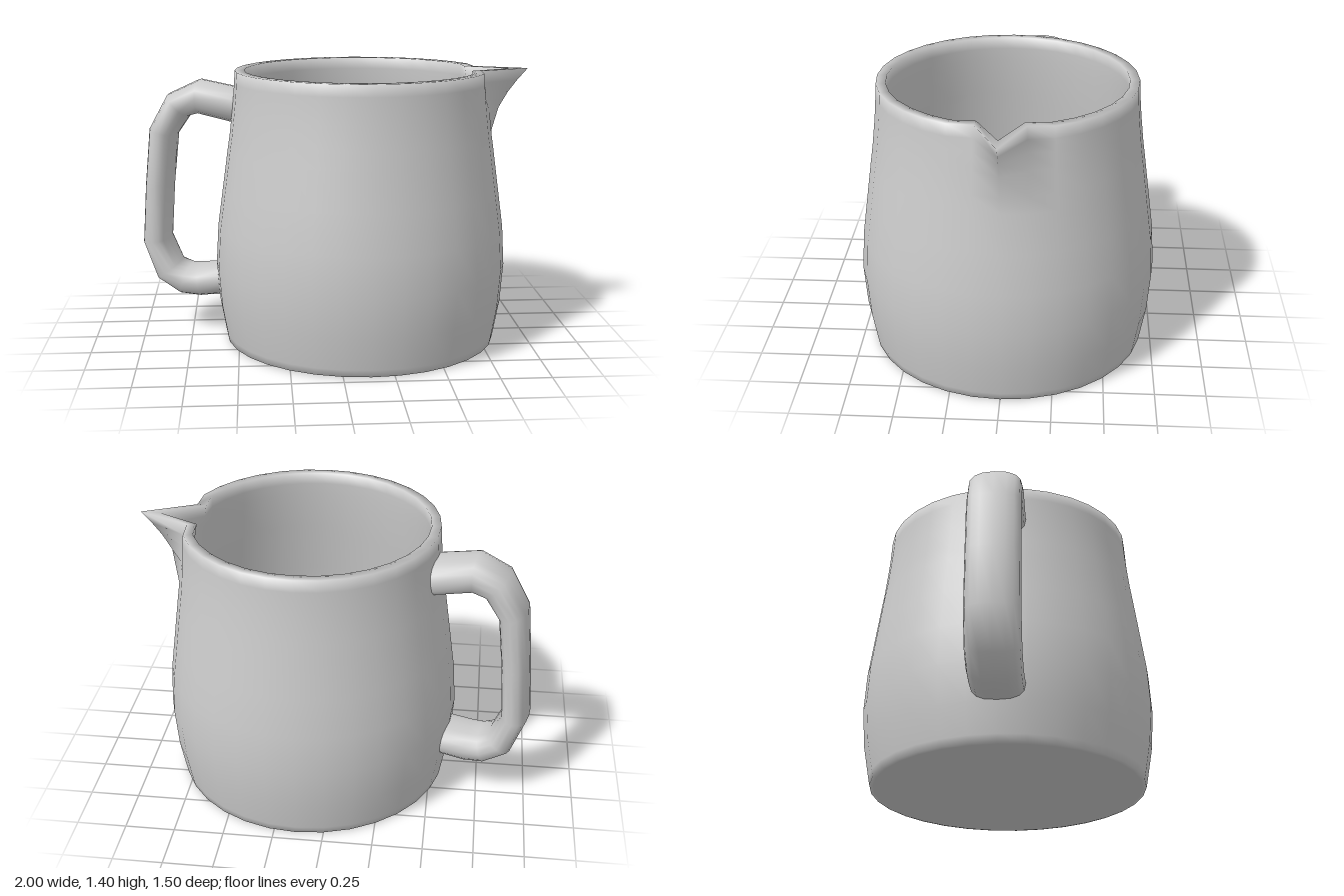
import * as THREE from 'three';
import { mergeVertices } from 'three/addons/utils/BufferGeometryUtils.js';

const material = new THREE.MeshStandardMaterial({ color: 0xcccccc });

// Weld shared points so the shading is smooth all round
function smooth(geometry) {
  geometry.deleteAttribute('uv');
  geometry.deleteAttribute('normal');
  const welded = mergeVertices(geometry, 1e-4);
  welded.computeVertexNormals();
  return welded;
}

// Interpolate a list of [key, value] stops in ascending key order
function ramp(stops, k) {
  if (k <= stops[0][0]) return stops[0][1];
  for (let i = 1; i < stops.length; i++) {
    const [k0, v0] = stops[i - 1], [k1, v1] = stops[i];
    if (k <= k1) return v0 + (v1 - v0) * (k - k0) / (k1 - k0);
  }
  return stops[stops.length - 1][1];
}

// Hollow pot: outer wall, rim, inner wall and floor in one turned profile
function makeBody() {
  const outer = [
    [0, 0], [0.35, 0], [0.68, 0], [0.7, 0.004], [0.707, 0.04], [0.735, 0.2], [0.75, 0.4],
    [0.738, 0.6], [0.71, 0.8], [0.682, 1.0], [0.67, 1.08], [0.656, 1.2], [0.648, 1.28], [0.644, 1.34], [0.64, 1.4],
  ];
  const inner = [
    [0.592, 1.4], [0.594, 1.34], [0.598, 1.28], [0.606, 1.2], [0.62, 1.08], [0.632, 1.0], [0.66, 0.8],
    [0.688, 0.6], [0.7, 0.4], [0.685, 0.2], [0.65, 0.09], [0.58, 0.055], [0.3, 0.05], [0, 0.05],
  ];
  const profile = [...outer, ...inner];
  const geometry = new THREE.LatheGeometry(profile.map(([r, y]) => new THREE.Vector2(r, y)), 32);

  // Spout: pull the +x column out to a point and pinch its neighbours in
  const outerPull = [[1.0, 0], [1.08, 0.012], [1.2, 0.06], [1.28, 0.115], [1.34, 0.165], [1.4, 0.222]];
  const innerPull = [[1.08, 0], [1.2, 0.04], [1.28, 0.085], [1.34, 0.125], [1.4, 0.175]];
  const pinch = [[1.2, 0], [1.4, -0.028]];
  const pos = geometry.attributes.position;
  const n = profile.length, spoutColumn = 8;
  for (let column = spoutColumn - 1; column <= spoutColumn + 1; column++) {
    for (let j = 0; j < n; j++) {
      const [r, y] = profile[j];
      if (y < 1) continue;
      const pull = column !== spoutColumn ? pinch : j < outer.length ? outerPull : innerPull;
      const k = (r + ramp(pull, y)) / r, i = column * n + j;
      pos.setX(i, pos.getX(i) * k);
      pos.setZ(i, pos.getZ(i) * k);
    }
  }
  return smooth(geometry);
}

// Handle: flattened oval section swept along a loop in the local xy plane
function makeHandle() {
  // distance from pot axis, height, half thickness
  const path = [
    [0.63, 1.205, 0.09], [0.84, 1.25, 0.088], [0.95, 1.205, 0.078], [1.035, 1.065, 0.07], [1.065, 0.78, 0.067],
    [1.085, 0.485, 0.068], [1.02, 0.32, 0.074], [0.93, 0.27, 0.08], [0.85, 0.265, 0.082], [0.715, 0.28, 0.08],
  ];
  const sides = 16, halfWidth = 0.13, positions = [], index = [];
  const oval = (v) => Math.sign(v) * Math.pow(Math.abs(v), 0.8);
  path.forEach(([x, y, t], i) => {
    const a = path[Math.max(i - 1, 0)], b = path[Math.min(i + 1, path.length - 1)];
    const length = Math.hypot(b[0] - a[0], b[1] - a[1]);
    const nx = -(b[1] - a[1]) / length, ny = (b[0] - a[0]) / length;
    for (let s = 0; s < sides; s++) {
      const angle = s / sides * Math.PI * 2;
      const u = oval(Math.cos(angle)) * t;
      positions.push(x + nx * u, y + ny * u, oval(Math.sin(angle)) * halfWidth);
    }
  });
  for (let i = 0; i < path.length - 1; i++) {
    for (let s = 0; s < sides; s++) {
      const a = i * sides + s, b = i * sides + (s + 1) % sides;
      index.push(a, b, a + sides, b, b + sides, a + sides);
    }
  }
  const geometry = new THREE.BufferGeometry();
  geometry.setAttribute('position', new THREE.Float32BufferAttribute(positions, 3));
  geometry.setIndex(index);
  geometry.computeVertexNormals();
  return geometry;
}

export function createModel() {
  const jug = new THREE.Group();
  jug.name = 'jug';

  const body = new THREE.Mesh(makeBody(), material);
  body.name = 'body';

  // The handle stands slightly off the line of the spout
  const openMaterial = material.clone();
  openMaterial.side = THREE.DoubleSide;
  const handle = new THREE.Mesh(makeHandle(), openMaterial);
  handle.name = 'handle';
  handle.rotation.y = THREE.MathUtils.degToRad(169);

  jug.add(body, handle);
  jug.position.x = 0.137;

  const model = new THREE.Group();
  model.add(jug);
  return model;
}
